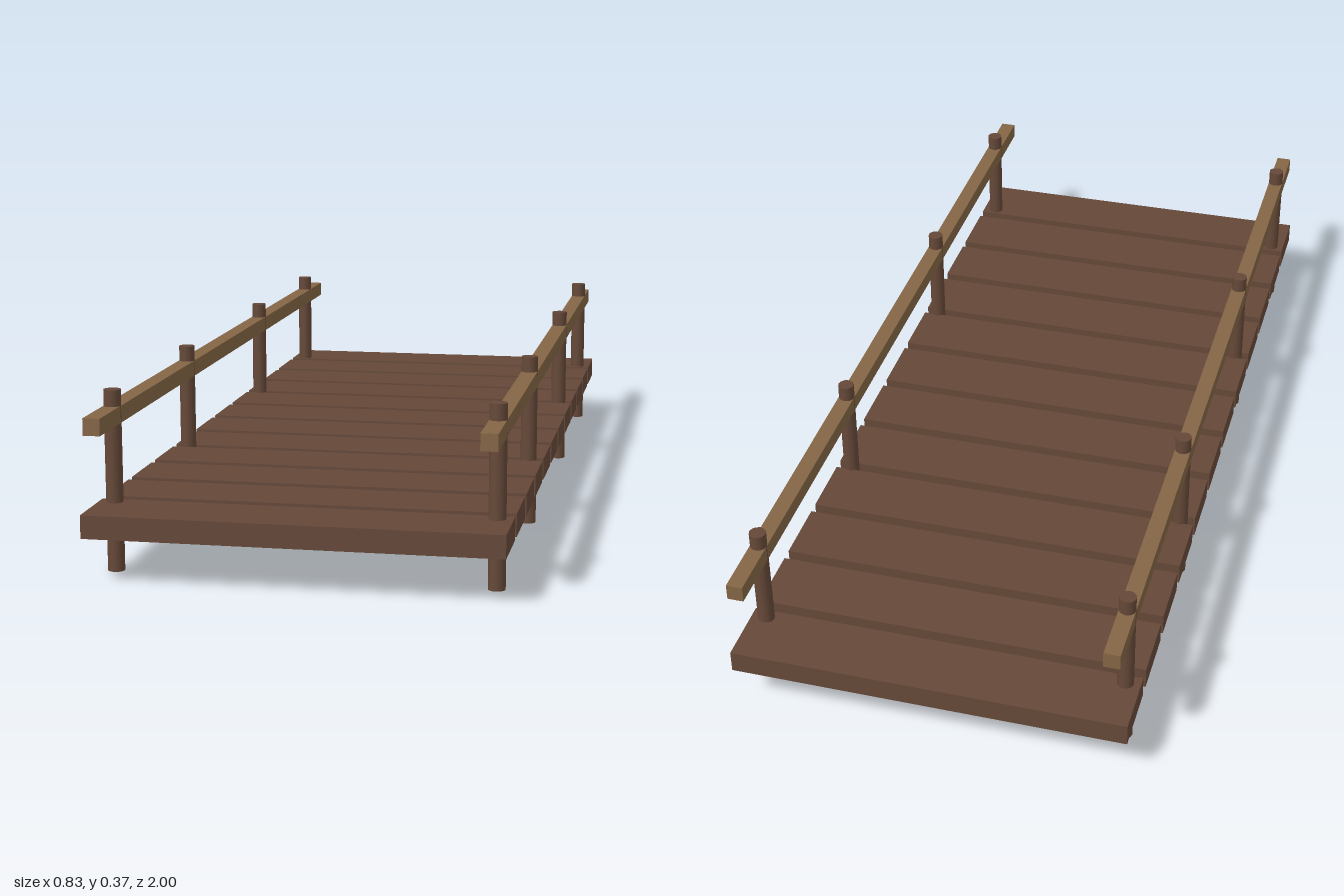
import * as THREE from 'three';

export function createModel() {
  const bridge = new THREE.Group();
  bridge.name = 'footbridge';
  const darkWood = new THREE.MeshStandardMaterial({ color: 0x654838 });
  const lightWood = new THREE.MeshStandardMaterial({ color: 0x846545 });

  const add = (name, geometry, material, x, y, z) => {
    const mesh = new THREE.Mesh(geometry, material);
    mesh.name = name;
    mesh.position.set(x, y, z);
    bridge.add(mesh);
  };

  // Deck: evenly spaced planks with narrow gaps
  const plankCount = 12;
  const pitch = 2 / plankCount;
  const plank = new THREE.BoxGeometry(0.83, 0.047, 0.142);
  for (let i = 0; i < plankCount; i++) {
    add(`plank${i + 1}`, plank, darkWood, 0, 0.117, -1 + pitch * (i + 0.5));
  }

  // Round posts and a square handrail on each side
  const postHeight = 0.368;
  const post = new THREE.CylinderGeometry(0.0175, 0.0175, postHeight, 12);
  const rail = new THREE.BoxGeometry(0.034, 0.034, 2);
  for (const [side, x] of [['left', 0.383], ['right', -0.383]]) {
    [-0.867, -0.333, 0.333, 0.867].forEach((z, i) => {
      add(`${side}Post${i + 1}`, post, darkWood, x, postHeight / 2, z);
    });
    add(`${side}Handrail`, rail, lightWood, x, 0.318, 0);
  }
  return bridge;
}
